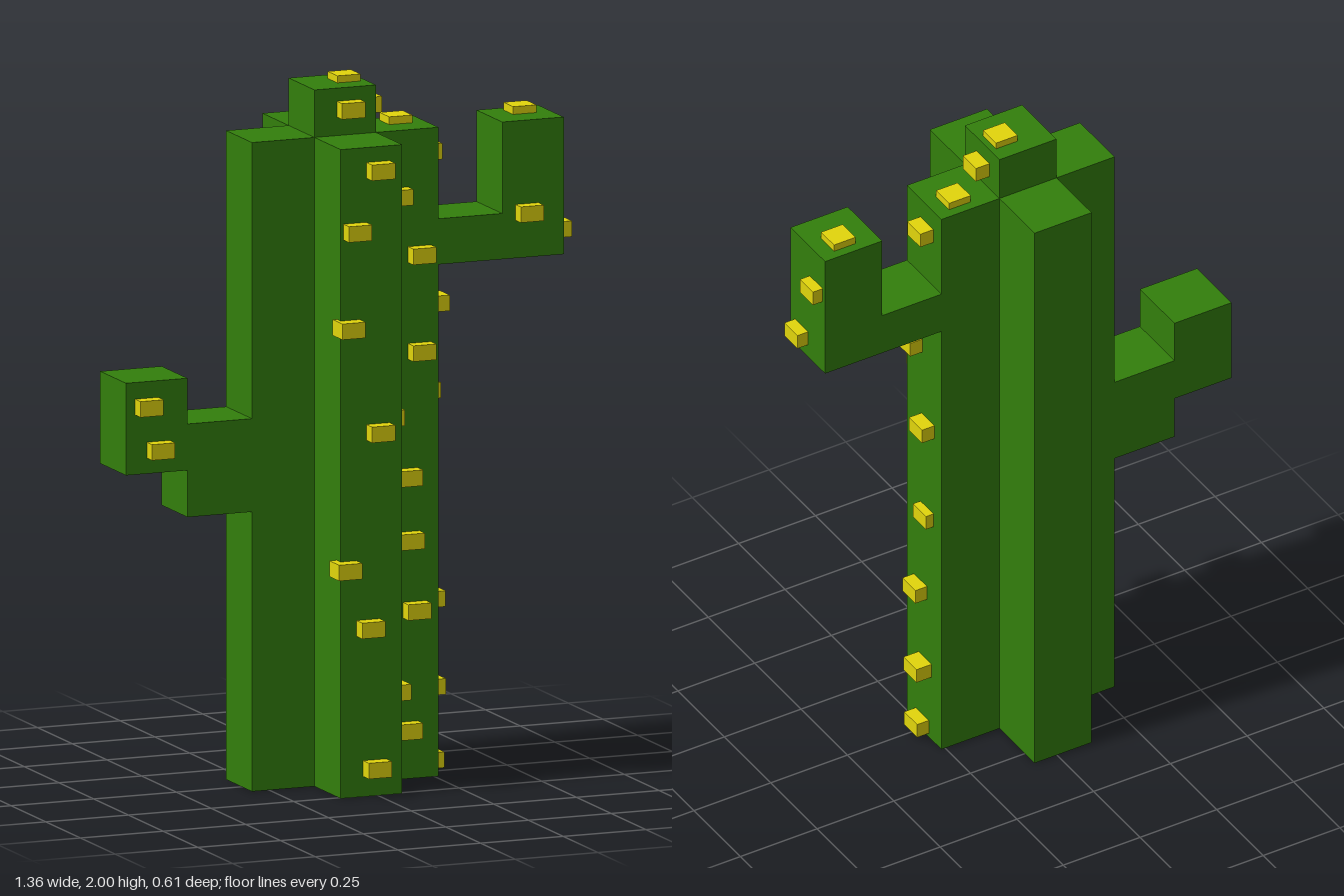
import * as THREE from 'three';

const GREEN = new THREE.MeshStandardMaterial({ color: 0x337f0c, flatShading: true });
const YELLOW = new THREE.MeshStandardMaterial({ color: 0xe2d60c, flatShading: true });

// Inner and outer limits of the cross-shaped plan, the same in x and z
const LO = -0.113, HI = 0.073, MIN = -0.302, MAX = 0.262;
const TOP = 1.845;

function extrude(name, points, depth) {
  const shape = new THREE.Shape(points.map(([x, y]) => new THREE.Vector2(x, y)));
  const mesh = new THREE.Mesh(new THREE.ExtrudeGeometry(shape, { depth, bevelEnabled: false }), GREEN);
  mesh.name = name;
  return mesh;
}

export function createModel() {
  const model = new THREE.Group();
  model.name = 'cactus';

  // Trunk: plus-shaped column
  const trunk = extrude('trunk', [
    [LO, MIN], [HI, MIN], [HI, LO], [MAX, LO], [MAX, HI], [HI, HI],
    [HI, MAX], [LO, MAX], [LO, HI], [MIN, HI], [MIN, LO], [LO, LO],
  ], TOP);
  trunk.rotation.x = -Math.PI / 2;
  trunk.scale.y = -1; // keeps plan y equal to model z
  // Bake the mirrored placement and restore the face winding
  trunk.updateMatrix();
  trunk.geometry = trunk.geometry.toNonIndexed ? trunk.geometry.clone() : trunk.geometry;
  trunk.geometry.applyMatrix4(trunk.matrix);
  trunk.rotation.set(0, 0, 0);
  trunk.scale.set(1, 1, 1);
  const pos = trunk.geometry.attributes.position;
  const a = new THREE.Vector3(), b = new THREE.Vector3();
  for (let i = 0; i < pos.count; i += 3) {
    a.fromBufferAttribute(pos, i + 1);
    b.fromBufferAttribute(pos, i + 2);
    pos.setXYZ(i + 1, b.x, b.y, b.z);
    pos.setXYZ(i + 2, a.x, a.y, a.z);
  }
  trunk.geometry.computeVertexNormals();
  model.add(trunk);

  // Cap block on the trunk
  const cap = new THREE.Mesh(new THREE.BoxGeometry(HI - LO, 1.98 - TOP, HI - LO), GREEN);
  cap.name = 'cap';
  cap.position.set((LO + HI) / 2, (1.98 + TOP) / 2, (LO + HI) / 2);
  model.add(cap);

  // Bent arms
  const leftArm = extrude('leftArm', [
    [MAX, 1.455], [0.641, 1.455], [0.641, TOP], [0.455, TOP], [0.455, 1.585], [MAX, 1.585],
  ], HI - LO);
  const rightArm = extrude('rightArm', [
    [MIN, 0.795], [MIN, 1.06], [-0.497, 1.06], [-0.497, 1.19],
    [-0.683, 1.19], [-0.683, 0.928], [-0.497, 0.928], [-0.497, 0.795],
  ], HI - LO);
  for (const arm of [leftArm, rightArm]) {
    arm.position.z = LO;
    model.add(arm);
  }

  // Spines: centre of each small block, its inner half sunk in the surface
  const spines = new THREE.Group();
  spines.name = 'spines';
  const spineGeometry = new THREE.BoxGeometry(0.07, 0.045, 0.07);
  const addSpine = (x, y, z) => {
    const spine = new THREE.Mesh(spineGeometry, YELLOW);
    spine.name = 'spine';
    spine.position.set(x, y, z);
    spines.add(spine);
  };

  // On the front of the front rib: x, y
  [[0, 1.78], [-0.07, 1.61], [-0.09, 1.335], [0, 1.035], [-0.1, 0.65], [-0.03, 0.48], [-0.01, 0.08]]
    .forEach(([x, y]) => addSpine(x, y, 0.268));

  // On the front of the left rib, the cap and both arms: x, y
  [[0.135, 1.66], [0.205, 1.49], [0.205, 1.215], [0.11, 1.035], [0.165, 0.86], [0.17, 0.68],
    [0.19, 0.48], [0.165, 0.14], [-0.01, 1.92], [0.53, 1.585], [-0.62, 1.12], [-0.585, 0.995]]
    .forEach(([x, y]) => addSpine(x, y, 0.076));

  // On the side of the front rib and the cap: y, z, outer x
  [[1.31, 0.145, 0.1], [0.74, 0.14, 0.105], [0.28, 0.2, 0.112], [1.91, -0.025, 0.118]]
    .forEach(([y, z, x]) => addSpine(x - 0.035, y, z));

  // On the side of the left rib and the left arm: y, z, outer x
  [[1.76, -0.035, 0.305], [1.34, 0.025, 0.302], [1.08, -0.04, 0.302], [0.77, -0.035, 0.287],
    [0.495, 0, 0.3], [0.24, -0.025, 0.311], [0.035, -0.01, 0.3],
    [1.72, -0.065, 0.673], [1.52, 0.013, 0.676]]
    .forEach(([y, z, x]) => addSpine(x - 0.035, y, z));

  // On the tops: x, outer y, z
  [[0.02, 2, -0.03], [0.185, 1.867, -0.05], [0.56, 1.867, -0.05]]
    .forEach(([x, y, z]) => addSpine(x, y - 0.0225, z));

  model.add(spines);
  return model;
}
